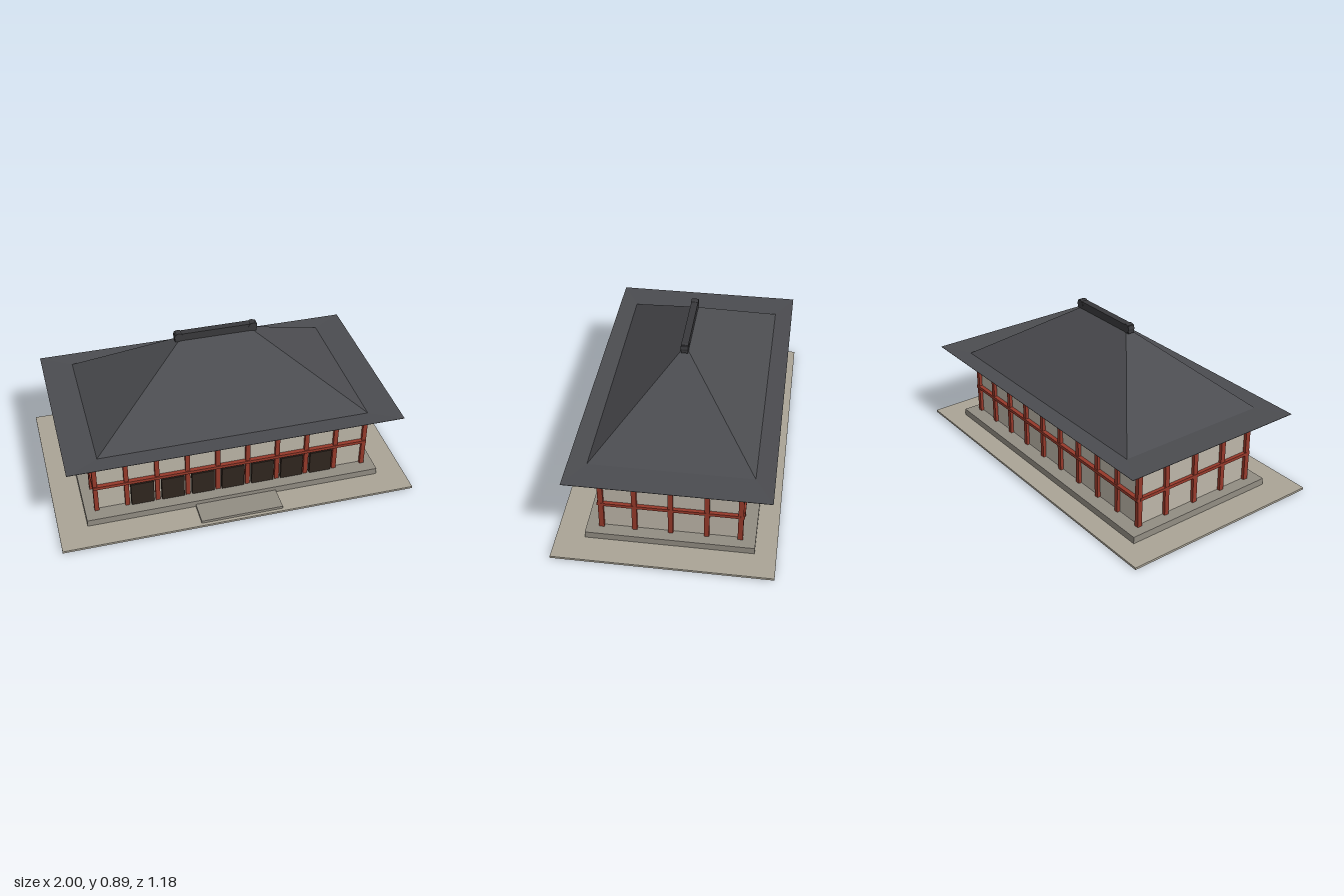
import * as THREE from 'three';

const mat = (color) => new THREE.MeshStandardMaterial({ color, flatShading: true });
const stone = mat(0xaaa496), base = mat(0x928d83), plaster = mat(0xbdb6a8);
const red = mat(0x96392a), tile = mat(0x4b4c50), dark = mat(0x39393c), wood = mat(0x30261f);

function box(parent, name, material, w, y0, y1, d, x = 0, z = 0) {
  const mesh = new THREE.Mesh(new THREE.BoxGeometry(w, y1 - y0, d), material);
  mesh.name = name;
  mesh.position.set(x, (y0 + y1) / 2, z);
  parent.add(mesh);
  return mesh;
}

// Skin over stacked rectangles [halfX, halfZ, y], capped at both ends
function rectLoft(rings) {
  const pos = [];
  const corners = ([a, b, y]) => [[a, y, b], [a, y, -b], [-a, y, -b], [-a, y, b]];
  const quad = (a, b, c, d) => pos.push(...a, ...b, ...c, ...a, ...c, ...d);
  for (let i = 0; i < rings.length - 1; i++) {
    const lo = corners(rings[i]), hi = corners(rings[i + 1]);
    for (let k = 0; k < 4; k++) {
      const n = (k + 1) % 4;
      quad(lo[k], lo[n], hi[n], hi[k]);
    }
  }
  quad(...corners(rings[0]).reverse());
  quad(...corners(rings[rings.length - 1]));
  const geo = new THREE.BufferGeometry();
  geo.setAttribute('position', new THREE.Float32BufferAttribute(pos, 3));
  geo.computeVertexNormals();
  return geo;
}

export function createModel() {
  const model = new THREE.Group();
  model.name = 'hall';

  // Ground, platform and front step
  box(model, 'groundSlab', stone, 2, 0.003, 0.015, 1.18);
  box(model, 'frontStep', base, 0.465, 0, 0.03, 0.16, 0, 0.491);

  // Everything else sits slightly behind the centre
  const hall = new THREE.Group();
  hall.name = 'building';
  hall.position.z = -0.02;
  model.add(hall);
  box(hall, 'platform', base, 1.68, 0, 0.054, 0.908);

  // Walls
  const X = 0.774, Z = 0.372, bay = X * 2 / 9;
  box(hall, 'walls', plaster, 1.536, 0.054, 0.385, 0.736);

  // Posts: ten along front and back, three more on each side
  const posts = new THREE.Group();
  posts.name = 'posts';
  hall.add(posts);
  for (let i = 0; i < 10; i++)
    for (const s of [1, -1])
      box(posts, 'post', red, 0.025, 0.054, 0.385, 0.028, -X + i * bay, s * Z);
  for (const z of [-0.193, 0, 0.193])
    for (const s of [1, -1])
      box(posts, 'sidePost', red, 0.025, 0.054, 0.385, 0.027, s * X, z);

  // Rails around the walls at mid height and along the top
  for (const [name, y0, y1] of [['middleRail', 0.208, 0.226], ['topBeam', 0.369, 0.398]])
    for (const s of [1, -1]) {
      box(hall, name, red, 1.572, y0, y1, 0.036, 0, s * 0.374);
      box(hall, name, red, 0.03, y0, y1, 0.74, s * 0.773, 0);
    }

  // Doors in the seven middle bays of the front
  for (let i = -3; i <= 3; i++)
    box(hall, 'door', wood, 0.128, 0.056, 0.2, 0.03, i * bay, 0.377);

  // Hipped roof with flat flared eaves and a closed underside
  const roof = new THREE.Mesh(rectLoft([
    [0.78, 0.45, 0.453],
    [0.93, 0.537, 0.47],
    [0.93, 0.537, 0.472],
    [0.755, 0.436, 0.467],
    [0.21, 0.018, 0.84],
  ]), tile);
  roof.name = 'roof';
  hall.add(roof);

  // Ridge with rounded ends
  box(hall, 'ridge', dark, 0.46, 0.836, 0.882, 0.038);
  for (const s of [1, -1]) {
    const end = new THREE.Mesh(new THREE.CylinderGeometry(0.025, 0.025, 0.04, 12), dark);
    end.name = 'ridgeEnd';
    end.rotation.x = Math.PI / 2;
    end.position.set(s * 0.208, 0.862, 0);
    hall.add(end);
  }
  return model;
}
